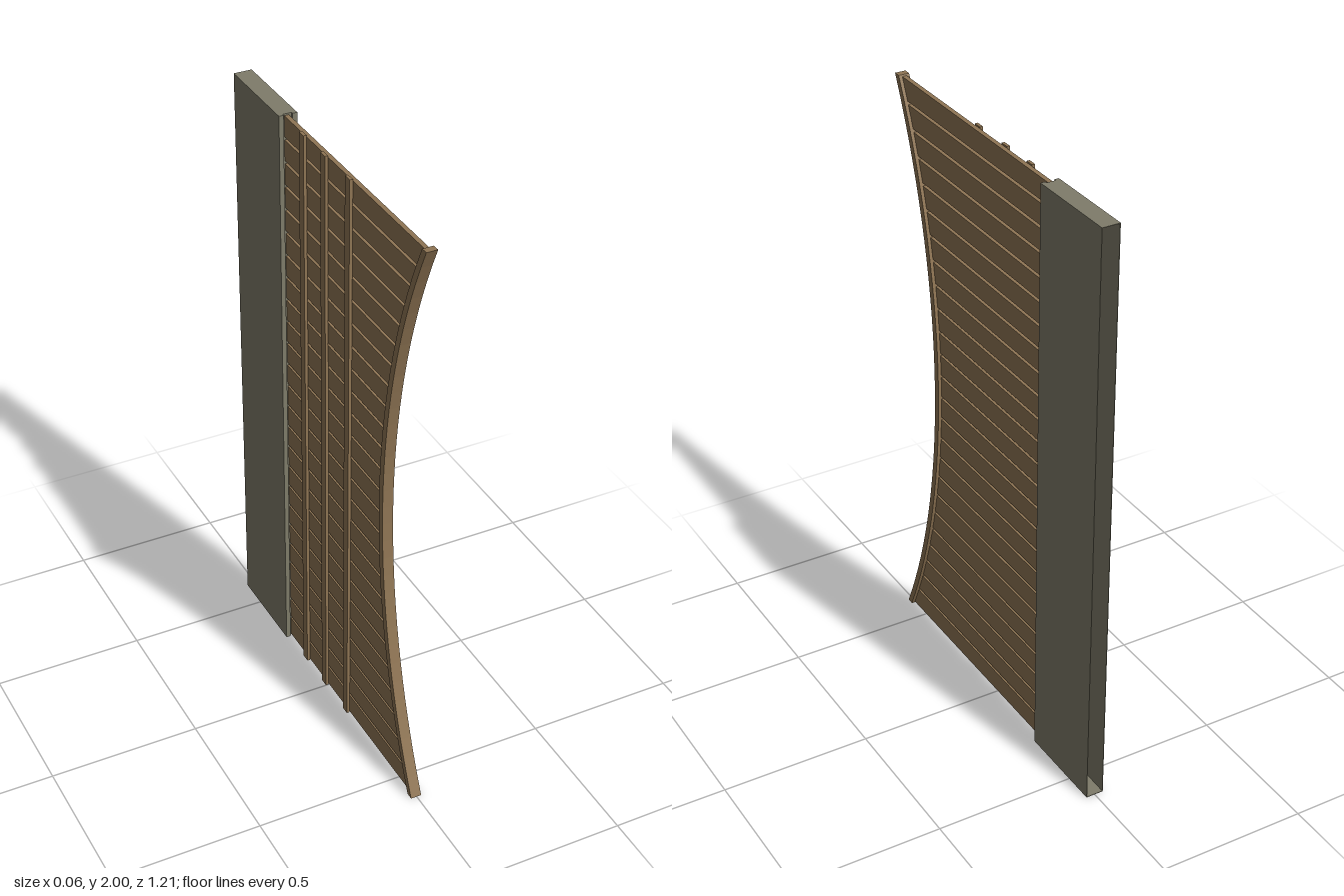
import * as THREE from 'three';

const HEIGHT = 2;
const RADIUS = 2.354; // radius of the curved front edge
const wood = new THREE.MeshStandardMaterial({ color: 0x8f7554 });
wood.name = 'wood';
const stone = new THREE.MeshStandardMaterial({ color: 0x7f7c6a });
stone.name = 'greyPost';

// z of the concave front edge at height y
const edgeZ = (y) => 0.382 + RADIUS - Math.sqrt(RADIUS * RADIUS - (y - 1) ** 2);

function box(parent, name, material, x0, x1, y0, y1, z0, z1) {
  const mesh = new THREE.Mesh(new THREE.BoxGeometry(x1 - x0, y1 - y0, z1 - z0), material);
  mesh.position.set((x0 + x1) / 2, (y0 + y1) / 2, (z0 + z1) / 2);
  mesh.name = name;
  parent.add(mesh);
}

// Extrudes a (z, y) outline across x0..x1
function sidePlate(parent, name, points, x0, x1) {
  const shape = new THREE.Shape(points.map(([z, y]) => new THREE.Vector2(-z, y)));
  const geometry = new THREE.ExtrudeGeometry(shape, { depth: x1 - x0, bevelEnabled: false });
  geometry.rotateY(Math.PI / 2).translate(x0, 0, 0);
  const mesh = new THREE.Mesh(geometry, wood);
  mesh.name = name;
  parent.add(mesh);
}

export function createModel() {
  const model = new THREE.Group();
  model.name = 'slattedPanel';

  // Hollow post: open at the back, with a shallow groove along the front
  const post = new THREE.Group();
  post.name = 'post';
  const t = 0.002;
  for (const s of [-1, 1]) {
    const [a, b] = s < 0 ? [-0.03, -0.03 + t] : [0.03 - t, 0.03];
    box(post, 'postSide', stone, a, b, 0, HEIGHT, -0.605, -0.285);
    const [c, d] = s < 0 ? [-0.03 + t, -0.015] : [0.015, 0.03 - t];
    box(post, 'postLip', stone, c, d, 0, HEIGHT, -0.292, -0.285);
  }
  box(post, 'postFront', stone, -0.03 + t, 0.03 - t, 0, HEIGHT, -0.294, -0.292);
  for (const y of [0, HEIGHT - t]) {
    box(post, 'postCap', stone, -0.03 + t, 0.03 - t, y, y + t, -0.605, -0.294);
  }
  model.add(post);

  // Horizontal slats, cut to follow the curved edge
  const slats = new THREE.Group();
  slats.name = 'slats';
  for (let i = 0; i < 25; i++) {
    const y0 = i * 0.08 + 0.005;
    const y1 = y0 + 0.07;
    sidePlate(slats, 'slat', [
      [-0.291, y0], [-0.291, y1], [edgeZ(y1) - 0.015, y1], [edgeZ(y0) - 0.015, y0],
    ], -0.01, 0.005);
  }
  model.add(slats);

  // Upright battens behind the slats
  for (const z of [-0.157, -0.016, 0.14]) {
    box(model, 'batten', wood, -0.02, -0.01, 0, HEIGHT, z - 0.015, z + 0.015);
  }

  // Curved rail along the front edge
  const outer = [];
  const inner = [];
  for (let i = 0; i <= 32; i++) {
    const y = (i / 32) * HEIGHT;
    outer.push([edgeZ(y), y]);
    inner.unshift([edgeZ(y) - 0.024, y]);
  }
  sidePlate(model, 'curvedRail', [...outer, ...inner], -0.02, 0.016);

  return model;
}
